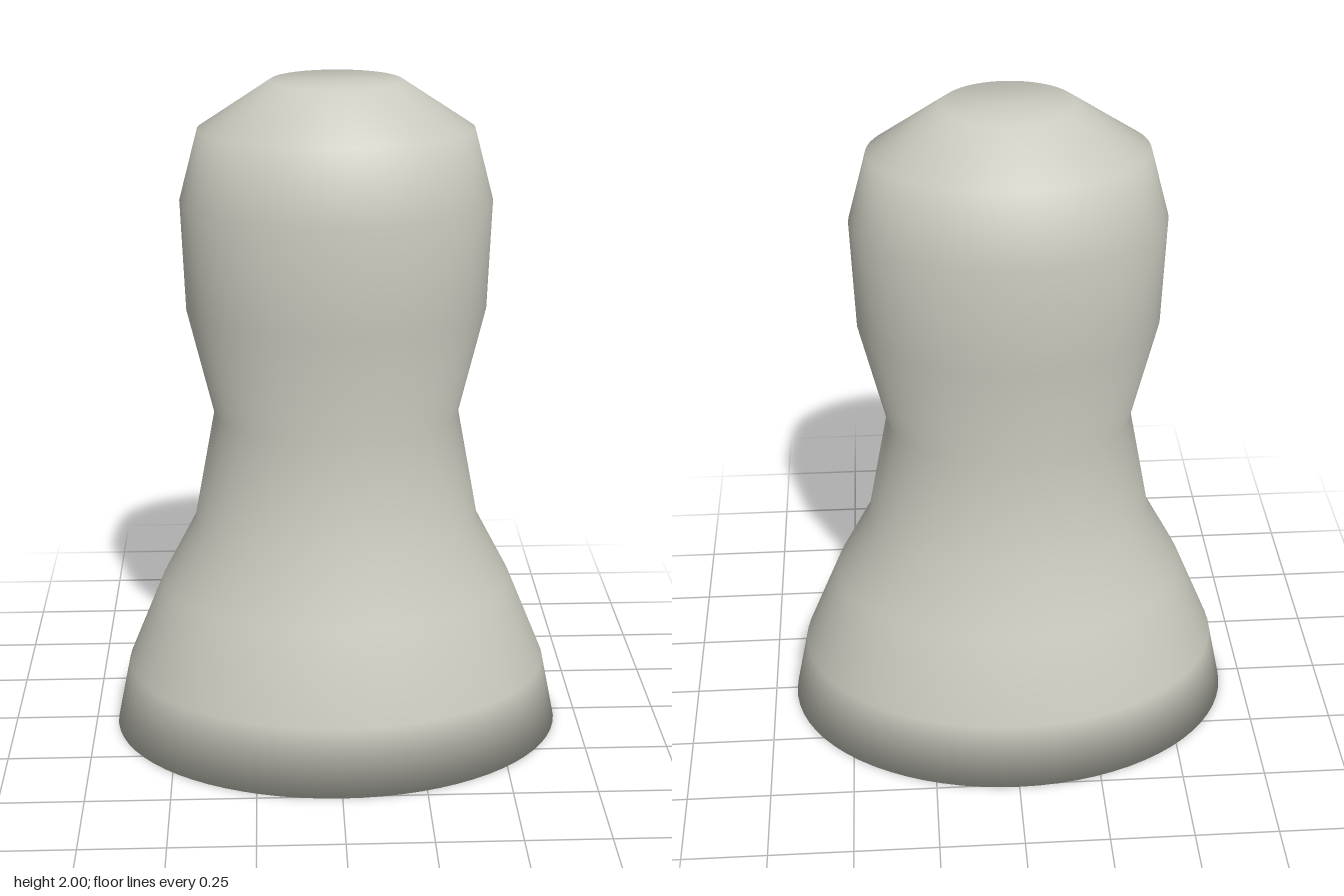
import * as THREE from 'three';

// height, half width (x), half depth (z) of each ring, from the base up
const RINGS = [
  [0, 0, 0],
  [0, 0.683, 0.511],
  [0.21, 0.64, 0.481],
  [0.48, 0.53, 0.405],
  [0.68, 0.426, 0.328],
  [1.02, 0.362, 0.278],
  [1.34, 0.437, 0.33],
  [1.66, 0.448, 0.33],
  [1.865, 0.393, 0.278],
  [2, 0.186, 0.159],
  [2, 0, 0],
];

// closed oval body: a smooth lathe squeezed in depth ring by ring
function ovalLathe(rings, segments) {
  const points = rings.map(([y, rx]) => new THREE.Vector2(rx, y));
  const geometry = new THREE.LatheGeometry(points, segments);
  geometry.scale(1, 1, 0.75); // also tilts the normals to the oval
  const position = geometry.attributes.position;
  for (let i = 0; i < position.count; i++) {
    const [, rx, rz] = rings[i % rings.length];
    if (rx > 0) position.setZ(i, (position.getZ(i) / 0.75) * (rz / rx));
  }
  return geometry;
}

export function createModel() {
  const group = new THREE.Group();
  group.name = 'waistedPillar';

  const paleStone = new THREE.MeshStandardMaterial({ color: 0xcccbc0 });
  paleStone.name = 'paleStone';

  const body = new THREE.Mesh(ovalLathe(RINGS, 72), paleStone);
  body.name = 'body';
  group.add(body);

  return group;
}
